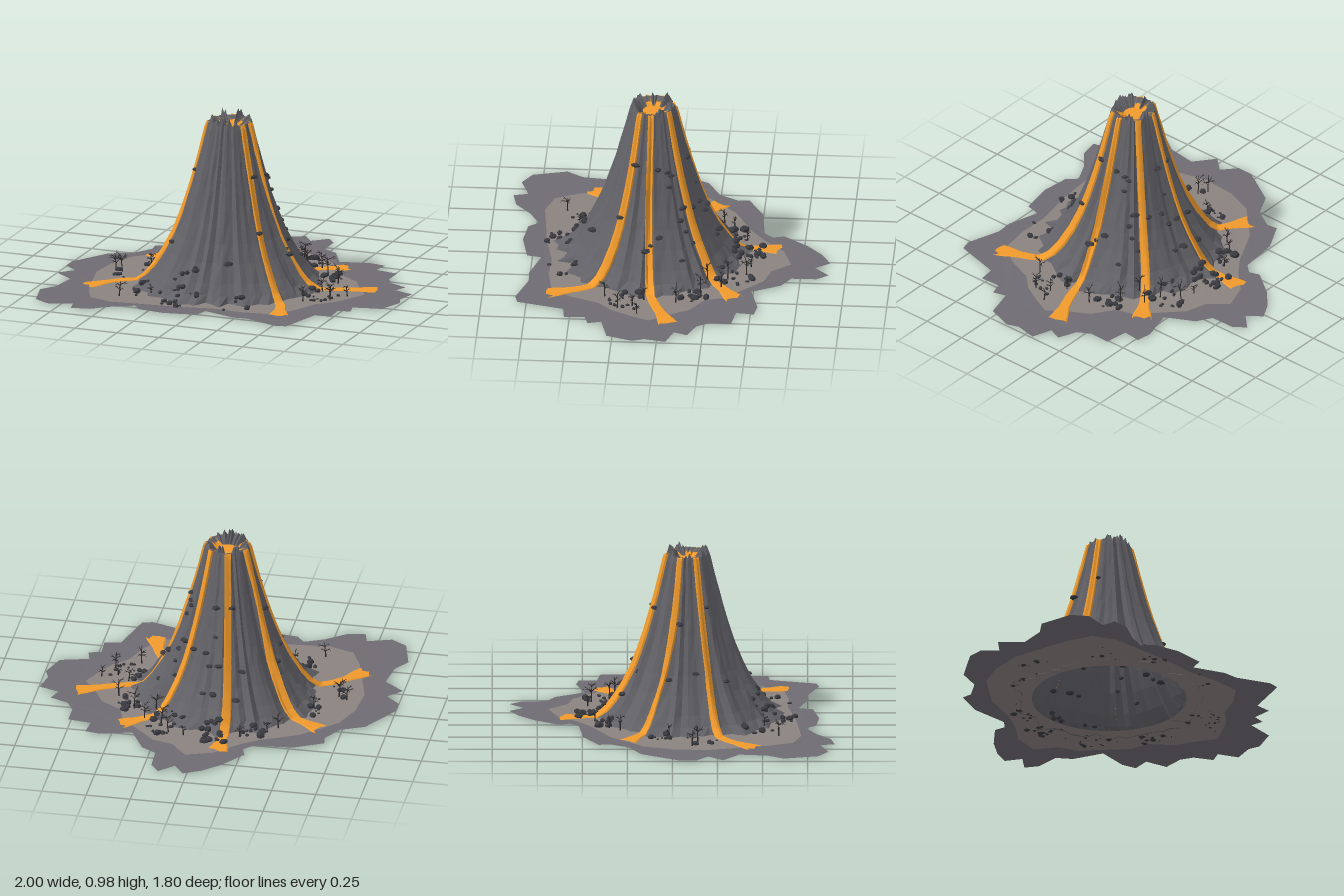
import * as THREE from 'three';
import { mergeGeometries } from 'three/addons/utils/BufferGeometryUtils.js';

const CX = -0.04, CZ = 0.085;          // axis of the cone
const COLS = 72;                       // ridges round the cone
const TAU = Math.PI * 2;

let seed = 7;
const rnd = () => {
  seed = (seed * 16807) % 2147483647;
  return seed / 2147483647;
};
const range = (a, b) => a + (b - a) * rnd();

const paint = (color) => new THREE.MeshStandardMaterial({
  color, flatShading: true, roughness: 1, side: THREE.DoubleSide,
});
const named = (name, geometry, material) => {
  const mesh = new THREE.Mesh(geometry, material);
  mesh.name = name;
  return mesh;
};

// Cone profile from foot to rim: [radius, height]
const PROFILE = [[0.52, 0.003], [0.46, 0.045], [0.415, 0.1], [0.352, 0.2], [0.303, 0.3], [0.265, 0.4],
  [0.232, 0.5], [0.203, 0.6], [0.176, 0.7], [0.151, 0.8], [0.127, 0.9], [0.118, 0.93]];
const RIDGES = Array.from({ length: COLS }, () => range(0.93, 1.05));

const ridgeAt = (angle) => {
  const u = ((angle / TAU + 1) % 1) * COLS, i = Math.floor(u);
  return THREE.MathUtils.lerp(RIDGES[i % COLS], RIDGES[(i + 1) % COLS], u - i);
};
const groundHeight = (x, z) => Math.max(0, 0.014 * (1 - Math.hypot(x - CX, z - CZ) / 0.95));

// Height of the terrain at (x, z); lift pushes the surface outwards
function terrain(x, z, lift = 0) {
  const dx = x - CX, dz = z - CZ;
  const r = (Math.hypot(dx, dz) - lift) / ridgeAt(Math.atan2(dz, dx));
  const flat = groundHeight(x, z) + lift * 0.4;
  if (r < 0.118) return THREE.MathUtils.mapLinear(Math.max(r, 0.04), 0.04, 0.118, 0.895, 0.935);
  for (let i = 1; i < PROFILE.length; i++) {
    const [r0, y0] = PROFILE[i - 1], [r1, y1] = PROFILE[i];
    if (r <= r0 && r >= r1) return Math.max(flat, THREE.MathUtils.mapLinear(r, r0, r1, y0, y1));
  }
  return flat;
}

// Grid surface from rows of points
function gridGeometry(rows, closed) {
  const n = rows[0].length, index = [];
  for (let j = 0; j < rows.length - 1; j++) {
    for (let i = 0; i < (closed ? n : n - 1); i++) {
      const a = j * n + i, b = j * n + (i + 1) % n;
      index.push(a, a + n, b, b, a + n, b + n);
    }
  }
  const geo = new THREE.BufferGeometry();
  geo.setAttribute('position', new THREE.Float32BufferAttribute(rows.flat(2), 3));
  geo.setIndex(index);
  geo.computeVertexNormals();
  return geo;
}

// Lava courses from the crater outwards: [x, z]
const COURSES = [
  [[-0.085, -0.13], [-0.117, -0.345], [-0.12, -0.61]],
  [[0.085, -0.07], [0.245, -0.24], [0.47, -0.4]],
  [[0.22, 0.09], [0.49, 0.06], [0.79, -0.055]],
  [[0.165, 0.215], [0.38, 0.4], [0.47, 0.635]],
  [[-0.29, 0.19], [-0.58, 0.285], [-0.75, 0.46]],
  [[-0.235, 0.01], [-0.42, -0.13], [-0.63, -0.255]],
];
const STARTS = COURSES.map(([[x, z]]) => Math.atan2(z - CZ, x - CX));
const nearLava = (angle) => STARTS.some((s) => Math.cos(angle - s) > 0.97);

function coneGeometry() {
  const ring = (fn) => Array.from({ length: COLS }, (_, i) => {
    const angle = (i / COLS) * TAU;
    const [r, y] = fn(i, angle);
    return [CX + Math.cos(angle) * r, y, CZ + Math.sin(angle) * r];
  });
  const rows = PROFILE.map(([r, y], j) => ring((i) =>
    [r * RIDGES[i] * (j === 0 ? range(0.94, 1.06) : range(0.99, 1.01)), y]));
  // jagged rim with a notch for every stream, then the crater wall
  const rim = Array.from({ length: COLS }, (_, i) =>
    nearLava((i / COLS) * TAU) ? 0.93 : (i % 4 === 0 ? 0.92 : range(0.94, 0.975)));
  rows.push(ring((i) => [0.109 * RIDGES[i], rim[i]]));
  rows.push(ring((i) => [0.088 * RIDGES[i], rim[i] - 0.015]));
  rows.push(ring(() => [0.05, 0.885]));
  return gridGeometry(rows, true);
}

function streamGeometry(points) {
  const [fx, fz] = points[0];
  const d = Math.hypot(fx - CX, fz - CZ);
  const path = [0.035, 0.12].map((r) => [CX + (fx - CX) * r / d, CZ + (fz - CZ) * r / d]).concat(points);
  const curve = new THREE.CatmullRomCurve3(path.map(([x, z]) => new THREE.Vector3(x, 0, z)));
  const rows = [], steps = 60;
  for (let k = 0; k <= steps; k++) {
    const t = k / steps, p = curve.getPointAt(t), dir = curve.getTangentAt(t);
    const half = 0.015 + 0.018 * t + 0.022 * THREE.MathUtils.smoothstep(t, 0.8, 1) + range(-0.001, 0.001);
    rows.push([-1, -0.85, -0.3, 0.3, 0.85, 1].map((s) => {
      // ragged tongue at the end
      const reach = k === steps ? range(-0.02, 0.02) : 0;
      const x = p.x - dir.z * half * s + dir.x * reach, z = p.z + dir.x * half * s + dir.z * reach;
      return [x, terrain(x, z, Math.abs(s) === 1 ? 0 : 0.011), z];
    }));
  }
  return gridGeometry(rows, false);
}

// Ragged outlines: [x, z]
const PLAIN = [[0.02, -0.905], [0.08, -0.825], [0.16, -0.905], [0.21, -0.84], [0.215, -0.7], [0.3, -0.65],
  [0.385, -0.49], [0.56, -0.535], [0.645, -0.52], [0.635, -0.42], [0.765, -0.4], [0.765, -0.28], [0.805, -0.21],
  [0.91, -0.165], [0.88, -0.09], [0.995, -0.05], [0.97, 0.07], [0.995, 0.135], [0.945, 0.28], [0.785, 0.32],
  [0.805, 0.395], [0.735, 0.415], [0.74, 0.53], [0.65, 0.54], [0.58, 0.8], [0.52, 0.815], [0.33, 0.75],
  [0.24, 0.755], [0.06, 0.7], [0.04, 0.78], [-0.145, 0.815], [-0.3, 0.795], [-0.345, 0.74], [-0.455, 0.795],
  [-0.56, 0.88], [-0.665, 0.9], [-0.685, 0.82], [-0.82, 0.865], [-0.91, 0.81], [-0.96, 0.62], [-0.9, 0.53],
  [-0.88, 0.37], [-0.995, 0.28], [-0.92, 0.2], [-1, 0.13], [-1, 0.04], [-0.87, -0.175], [-0.74, -0.24],
  [-0.675, -0.35], [-0.685, -0.41], [-0.525, -0.495], [-0.3, -0.52], [-0.255, -0.57], [-0.275, -0.63],
  [-0.17, -0.77], [-0.075, -0.855]];
const ASH = [[0.05, -0.69], [0.14, -0.585], [0.26, -0.55], [0.33, -0.48], [0.47, -0.345], [0.5, -0.24],
  [0.62, -0.16], [0.68, -0.05], [0.755, 0.06], [0.71, 0.16], [0.65, 0.27], [0.57, 0.35], [0.51, 0.5],
  [0.43, 0.62], [0.25, 0.645], [0.08, 0.64], [-0.13, 0.68], [-0.34, 0.7], [-0.5, 0.715], [-0.64, 0.67],
  [-0.7, 0.54], [-0.74, 0.4], [-0.795, 0.19], [-0.78, 0], [-0.72, -0.16], [-0.64, -0.24], [-0.53, -0.345],
  [-0.32, -0.45], [-0.21, -0.53], [-0.1, -0.64]];
const FOOT = Array.from({ length: 48 }, (_, i) =>
  [CX + 0.43 * Math.cos(i / 48 * TAU), CZ + 0.43 * Math.sin(i / 48 * TAU)]);

function sheetGeometry(outline, hole) {
  const flip = (list) => list.map(([x, z]) => new THREE.Vector2(x, -z));
  const shape = new THREE.Shape(flip(outline));
  shape.holes.push(new THREE.Path(flip(hole)));
  const geo = new THREE.ShapeGeometry(shape).rotateX(-Math.PI / 2);
  const pos = geo.attributes.position;
  for (let i = 0; i < pos.count; i++) pos.setY(i, groundHeight(pos.getX(i), pos.getZ(i)));
  return geo;
}

function rockGeometry(x, z, size, flatness) {
  return new THREE.DodecahedronGeometry(size)
    .rotateX(range(0, 3)).rotateZ(range(0, 3))
    .scale(range(0.8, 1.3), flatness, range(0.7, 1.1))
    .rotateY(range(0, TAU))
    .translate(x, terrain(x, z) + size * flatness * 0.45, z);
}

// Bare tree: thin trunk and forked branches
function treeGeometry(x, z, height) {
  const twig = (len, r) => new THREE.CylinderGeometry(r * 0.3, r, len, 4).translate(0, len / 2, 0);
  const parts = [twig(height, 0.0045)];
  for (let i = 0; i < 6; i++) {
    const len = height * range(0.3, 0.5), turn = i * 2.4 + range(0, 1), tilt = range(0.7, 1.2);
    const branch = mergeGeometries([twig(len, 0.003),
      twig(len * 0.5, 0.002).rotateZ(0.8).translate(0, len * 0.55, 0)]);
    parts.push(branch.rotateZ(tilt).rotateY(turn).translate(0, height * range(0.4, 0.9), 0));
  }
  return mergeGeometries(parts).rotateZ(range(-0.12, 0.12)).translate(x, terrain(x, z) - 0.004, z);
}

export function createModel() {
  seed = 4321;
  const model = new THREE.Group();
  model.name = 'volcano';
  const lava = paint(0xf09a2c), rock = paint(0x3a3b41);

  model.add(named('plain', sheetGeometry(PLAIN, ASH), paint(0x6f6b72)));
  model.add(named('ashField', sheetGeometry(ASH, FOOT), paint(0x8a827f)));
  model.add(named('cone', coneGeometry(), paint(0x626167)));
  model.add(named('craterLava', new THREE.CylinderGeometry(0.058, 0.05, 0.012, 14).translate(CX, 0.892, CZ), lava));
  COURSES.forEach((c, i) => model.add(named('lavaStream' + (i + 1), streamGeometry(c), lava)));

  // boulder clusters round the foot: [x, z, spread, count]
  const boulders = [];
  for (const [cx, cz, spread, count] of [[-0.05, -0.46, 0.11, 24], [-0.26, -0.37, 0.08, 12], [0.22, -0.38, 0.12, 14],
    [-0.55, -0.07, 0.08, 10], [-0.62, 0.15, 0.1, 8], [-0.17, 0.57, 0.13, 22], [0.55, 0.2, 0.11, 14],
    [0.5, -0.17, 0.09, 8], [-0.45, 0.47, 0.1, 6], [0.2, 0.57, 0.1, 6]]) {
    for (let i = 0; i < count; i++) {
      const a = range(0, TAU), r = spread * Math.sqrt(rnd());
      boulders.push(rockGeometry(cx + Math.cos(a) * r, cz + Math.sin(a) * r, range(0.006, 0.024), range(0.6, 0.9)));
    }
  }
  model.add(named('boulders', mergeGeometries(boulders), rock));

  // flat stones lying on the slopes, most of them at the back
  const stones = [[-0.2, 0.19], [0.13, 0.17], [0.2, 0.25], [0.08, 0.41], [-0.3, 0.3]];
  for (let i = 0; i < 26; i++) {
    const a = range(-3.3, 0.4), r = range(0.19, 0.4);
    stones.push([CX + Math.cos(a) * r, CZ + Math.sin(a) * r]);
  }
  model.add(named('slopeStones', mergeGeometries(stones.map(([x, z]) =>
    rockGeometry(x, z, range(0.017, 0.028), 0.5))), rock));

  // groves of bare trees: [x, z]
  const trees = [[-0.4, -0.29], [-0.35, -0.35], [-0.21, -0.43], [0.19, -0.45], [0.25, -0.35], [0.35, -0.32],
    [0.3, -0.24], [0.43, -0.21], [0.54, -0.08], [-0.71, 0.11], [-0.66, 0.14], [0.59, 0.16], [0.62, 0.24],
    [0.49, 0.32], [-0.34, 0.51], [-0.5, 0.59], [0.68, 0.13], [-0.55, -0.02], [0.52, 0.1], [0.1, -0.47]];
  model.add(named('bareTrees', mergeGeometries(trees.map(([x, z]) =>
    treeGeometry(x, z, range(0.06, 0.11)))), paint(0x2f2d2e)));
  return model;
}
